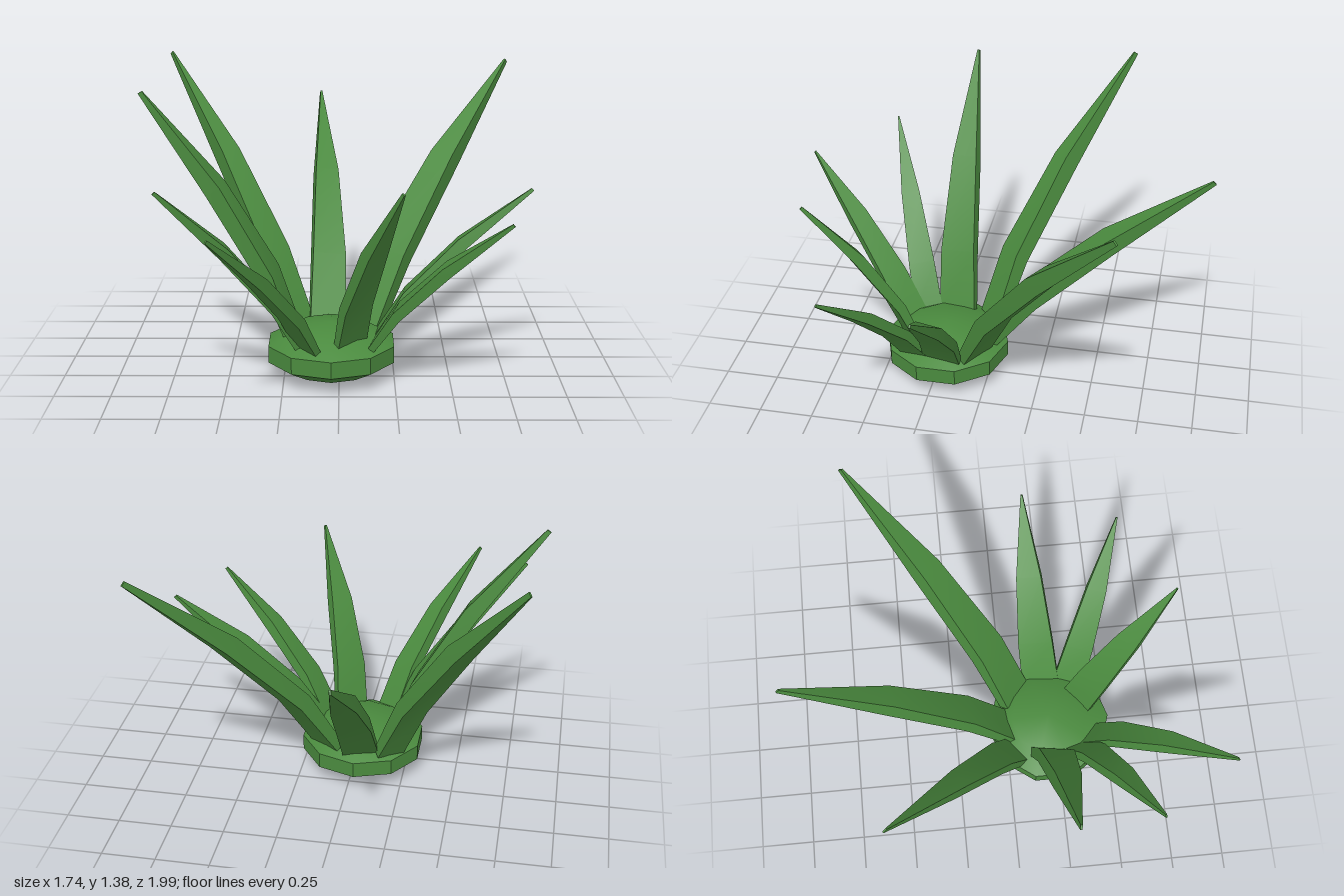
import * as THREE from 'three';
import { toCreasedNormals } from 'three/addons/utils/BufferGeometryUtils.js';

// Each leaf: base x, base z, tip x, tip y, tip z, base width, roll in degrees
const LEAVES = [
  [-0.05, 0.02, -0.10, 1.105, -0.99, 0.17, 10],
  [0.10, 0.07, 0.82, 1.32, -0.645, 0.18, 10],
  [0.17, 0.19, 0.865, 0.855, 0.16, 0.18, -10],
  [0.15, 0.33, 0.73, 0.805, 0.60, 0.145, 12],
  [0.04, 0.35, 0.26, 0.985, 0.80, 0.165, 14],
  [-0.13, 0.40, -0.515, 0.84, 0.985, 0.135, -12],
  [-0.18, 0.34, -0.765, 0.945, 0.615, 0.135, -10],
  [-0.19, 0.20, -0.865, 1.30, 0.22, 0.18, -10],
  [-0.18, 0.04, -0.82, 1.37, -0.555, 0.145, -10],
];

// Cross-sections along a leaf: position, width factor, top and underside height (times length)
const SECTIONS = [
  [0, 1, 0, -0.035],
  [0.23, 0.93, 0.055, 0.004],
  [0.59, 0.66, 0.065, 0.008],
  [1, 0.05, 0.008, -0.008],
];

function leafGeometry([bx, bz, tx, ty, tz, width, roll]) {
  const base = new THREE.Vector3(bx, 0.2, bz);
  const along = new THREE.Vector3(tx, ty, tz).sub(base);
  const length = along.length();
  const axis = along.clone().normalize();
  const angle = THREE.MathUtils.degToRad(roll);
  const side = new THREE.Vector3(along.x, 0, along.z).normalize()
    .cross(new THREE.Vector3(0, 1, 0)).applyAxisAngle(axis, angle);
  const normal = side.clone().cross(axis);

  // Four corners per section: top left, top right, bottom right, bottom left
  const points = [];
  for (const [t, w, top, under] of SECTIONS) {
    const corners = [[-1, top], [1, top], [1, under], [-1, under]];
    for (const [s, h] of corners) {
      points.push(base.clone()
        .addScaledVector(along, t)
        .addScaledVector(side, s * w * width / 2)
        .addScaledVector(normal, h * length));
    }
  }
  const index = [];
  const quad = (a, b, c, d) => index.push(a, b, c, a, c, d);
  for (let i = 0; i < SECTIONS.length - 1; i++) {
    for (let k = 0; k < 4; k++) {
      const a = i * 4 + k, b = i * 4 + (k + 1) % 4;
      quad(a, b, b + 4, a + 4);
    }
  }
  const e = points.length - 4;
  quad(0, 3, 2, 1);
  quad(e, e + 1, e + 2, e + 3);

  const geometry = new THREE.BufferGeometry().setFromPoints(points);
  geometry.setIndex(index);
  return toCreasedNormals(geometry, 0.5);
}

export function createModel() {
  const group = new THREE.Group();
  group.name = 'spikyPlant';
  const green = new THREE.MeshStandardMaterial({ color: 0x4a8a3e });
  green.name = 'leafGreen';

  // Squashed ten-sided bulb at the foot
  const bulbGeometry = new THREE.SphereGeometry(0.312, 10, 5);
  bulbGeometry.rotateY(Math.PI / 2);
  bulbGeometry.scale(1, 0.395, 1);
  const bulb = new THREE.Mesh(toCreasedNormals(bulbGeometry, 0.5), green);
  bulb.name = 'bulb';
  bulb.position.set(-0.035, 0.124, 0.212);
  group.add(bulb);

  // Ring of arched, tapering leaves
  LEAVES.forEach((data, i) => {
    const leaf = new THREE.Mesh(leafGeometry(data), green);
    leaf.name = 'leaf' + (i + 1);
    group.add(leaf);
  });
  return group;
}
